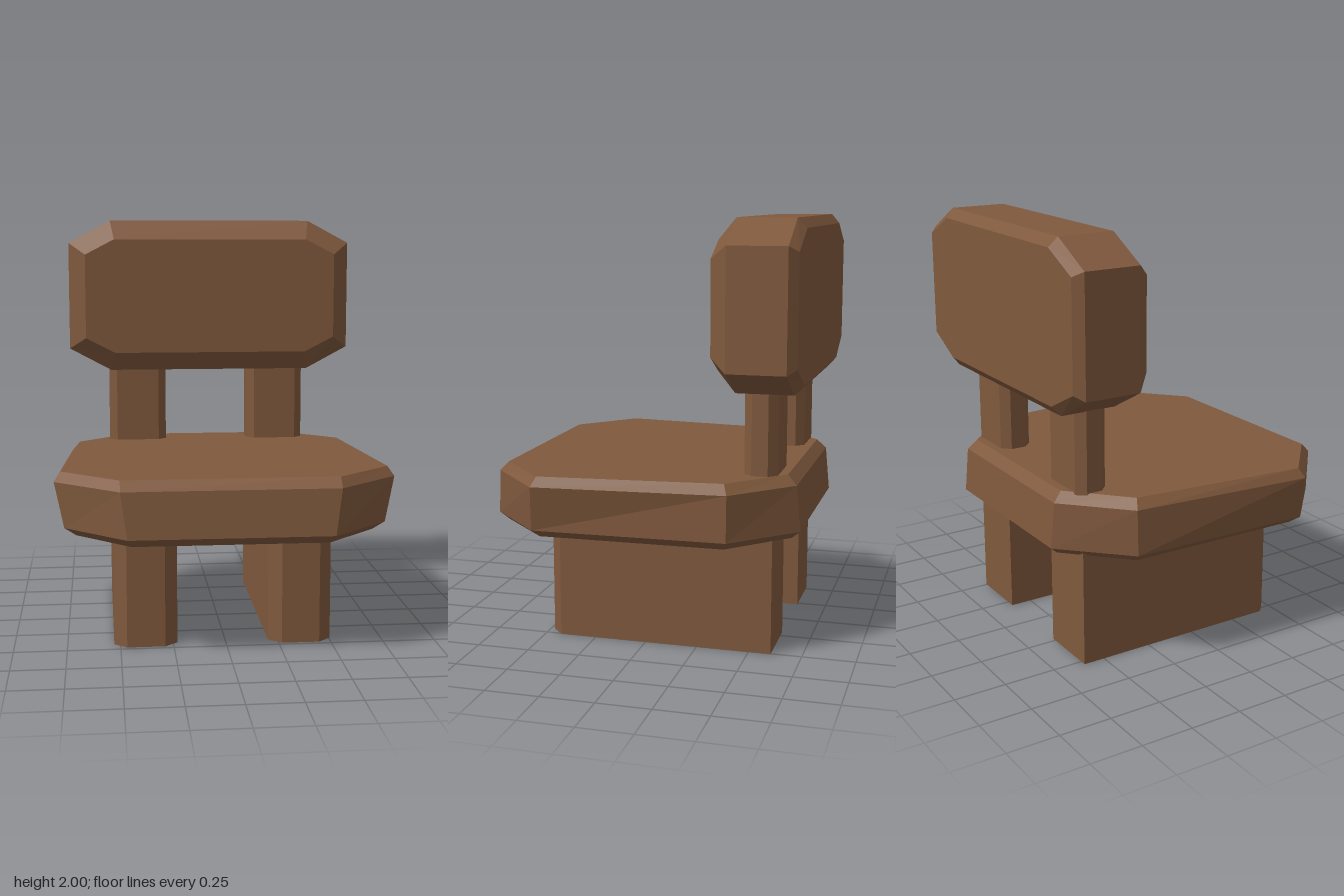
import * as THREE from 'three';

// Closed outline from its right half (listed counter-clockwise), mirrored in x
const mirrored = (half) => [...half, ...half.slice().reverse().map(([x, v]) => [-x, v])];

// Eight-sided outline: half width/height, chamfer in each direction
const octagon = (w, h, cx, cy) =>
  mirrored([[w - cx, -h], [w, -h + cy], [w, h - cy], [w - cx, h]]);

// Solid lofted through [level, outline] layers along local z, with flat faces
function loft(layers) {
  const pos = [];
  const rings = layers.map(([z, outline]) => outline.map(([x, y]) => [x, y, z]));
  const tri = (a, b, c) => pos.push(...a, ...b, ...c);
  const n = rings[0].length;
  for (let k = 0; k < rings.length - 1; k++) {
    const lo = rings[k], hi = rings[k + 1];
    for (let i = 0; i < n; i++) {
      const j = (i + 1) % n;
      tri(lo[i], lo[j], hi[j]);
      tri(lo[i], hi[j], hi[i]);
    }
  }
  const first = rings[0], last = rings[rings.length - 1];
  for (let i = 1; i < n - 1; i++) {
    tri(first[0], first[i + 1], first[i]);
    tri(last[0], last[i], last[i + 1]);
  }
  const geo = new THREE.BufferGeometry();
  geo.setAttribute('position', new THREE.Float32BufferAttribute(pos, 3));
  geo.computeVertexNormals();
  return geo;
}

// Loft whose layers rise along y (outline coordinates are x and -z)
const loftUp = (layers) => loft(layers).rotateX(-Math.PI / 2);

export function createModel() {
  const group = new THREE.Group();
  group.name = 'chair';
  const wood = new THREE.MeshStandardMaterial({ color: 0x80593d });
  wood.name = 'brown wood';

  const add = (name, geo, x = 0, y = 0, z = 0) => {
    const mesh = new THREE.Mesh(geo, wood);
    mesh.name = name;
    mesh.position.set(x, y, z);
    group.add(mesh);
  };

  // Seat: tapered slab with cut corners and bevelled rims
  add('seat', loftUp([
    [0.54, mirrored([[0.45, -0.7], [0.7, -0.45], [0.69, 0.42], [0.42, 0.68]])],
    [0.58, mirrored([[0.47, -0.745], [0.755, -0.47], [0.735, 0.44], [0.45, 0.725]])],
    [0.795, mirrored([[0.5, -0.725], [0.8, -0.455], [0.728, 0.44], [0.45, 0.705]])],
    [0.84, mirrored([[0.5, -0.68], [0.77, -0.435], [0.69, 0.42], [0.43, 0.66]])],
  ]));

  // Backrest: thick octagonal pad, deep bevel in front and a small one behind
  add('backrest', loft([
    [-0.74, octagon(0.695, 0.345, 0.19, 0.095)],
    [-0.7, octagon(0.735, 0.39, 0.215, 0.115)],
    [-0.43, octagon(0.735, 0.39, 0.215, 0.115)],
    [-0.345, octagon(0.65, 0.293, 0.15, 0.078)],
  ]), 0, 1.61, 0);

  // Long runner legs with chamfered front edges, and posts holding the backrest
  const runner = mirrored([[0.09, -0.48], [0.15, -0.425], [0.15, 0.605]]);
  const post = octagon(0.15, 0.078, 0.04, 0.04);
  for (const [side, x] of [['right', -0.38], ['left', 0.355]]) {
    add(side + 'Leg', loftUp([[0, runner], [0.56, runner]]), x);
    add(side + 'BackPost', loftUp([[0.8, post], [1.3, post]]), x, 0, -0.542);
  }
  return group;
}
